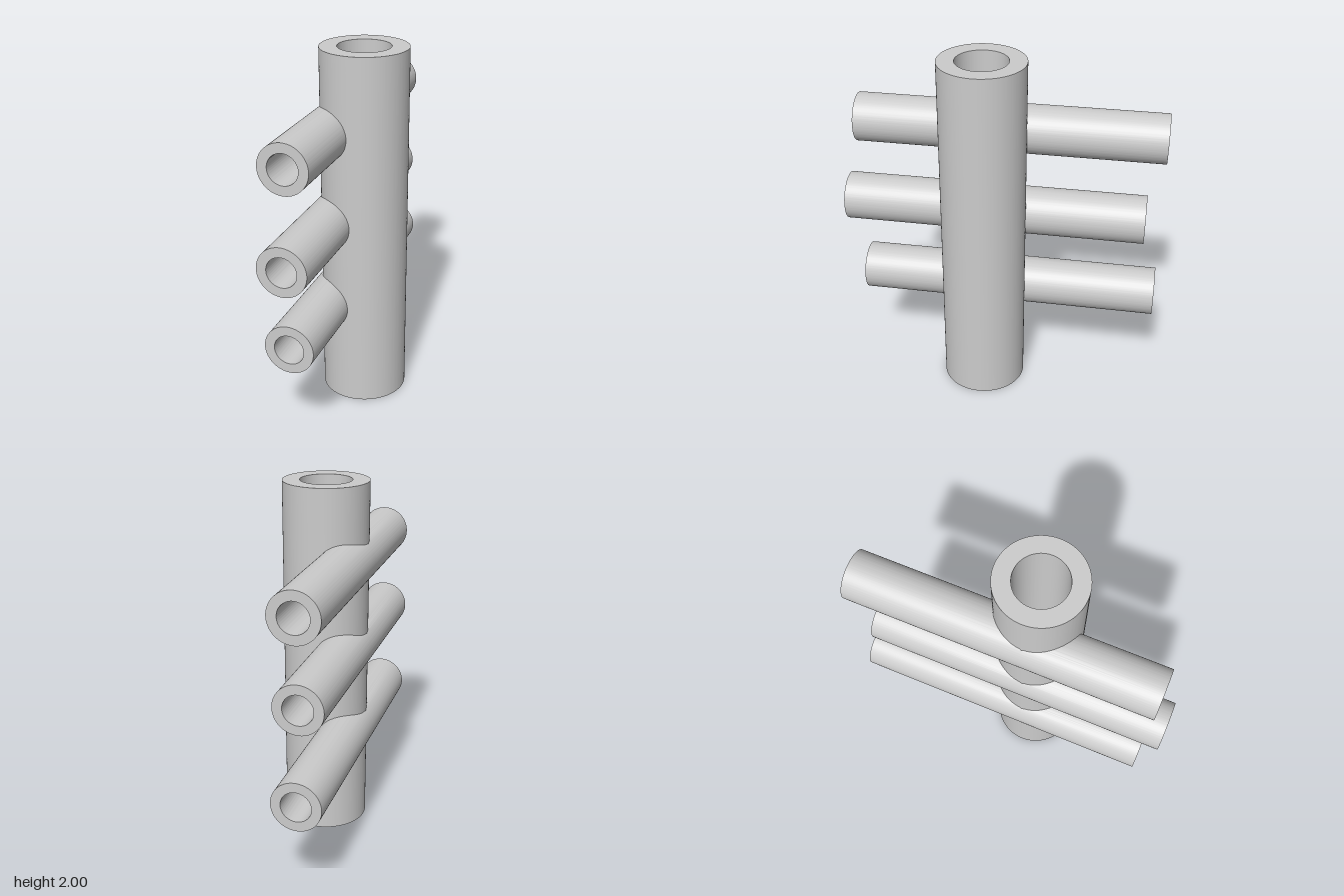
import * as THREE from 'three';
import { toCreasedNormals } from 'three/addons/utils/BufferGeometryUtils.js';

const POST = { x: 0.022, z: 0.086, radius: 0.236, bore: 0.142, height: 2 };
const BRANCH = { radius: 0.135, bore: 0.082 };

// Hollow tube along z, from z = 0 to z = depth
function ringExtrude(radius, bore, depth) {
  const shape = new THREE.Shape().absarc(0, 0, radius, 0, Math.PI * 2, false);
  shape.holes.push(new THREE.Path().absarc(0, 0, bore, 0, Math.PI * 2, true));
  return new THREE.ExtrudeGeometry(shape, { depth, bevelEnabled: false, curveSegments: 96 });
}

// Half of a cross tube: one end flat, the other shaped to the post's outer wall
function branchGeometry(x, y, end) {
  const side = end > 0 ? 1 : -1;
  const geometry = ringExtrude(BRANCH.radius, BRANCH.bore, 1).translate(x, y, 0);
  const p = geometry.attributes.position;
  for (let i = 0; i < p.count; i++) {
    const dx = p.getX(i) - POST.x;
    const halfChord = Math.sqrt(Math.max(0, POST.radius ** 2 - dx * dx));
    const isOuterEnd = (p.getZ(i) > 0.5) === (side > 0);
    p.setZ(i, isOuterEnd ? end : POST.z + side * halfChord);
  }
  return toCreasedNormals(geometry, 0.5);
}

export function createModel() {
  const model = new THREE.Group();
  model.name = 'branchedPipe';
  const material = new THREE.MeshStandardMaterial({ color: 0xcccccc });

  const add = (name, geometry, parent = model) => {
    const mesh = new THREE.Mesh(geometry, material);
    mesh.name = name;
    parent.add(mesh);
  };

  // Upright hollow post
  const post = ringExtrude(POST.radius, POST.bore, POST.height)
    .rotateX(-Math.PI / 2).translate(POST.x, 0, POST.z);
  add('post', toCreasedNormals(post, 0.5));

  // Three cross tubes, offset to the side of the post
  const tubes = [
    { name: 'lowerCrossTube', x: -0.128, y: 0.575, back: -0.89, front: 0.807 },
    { name: 'middleCrossTube', x: -0.115, y: 1.062, back: -0.807, front: 0.89 },
    { name: 'upperCrossTube', x: -0.128, y: 1.564, back: -0.89, front: 0.807 },
  ];
  for (const { name, x, y, back, front } of tubes) {
    const tube = new THREE.Group();
    tube.name = name;
    add('frontBranch', branchGeometry(x, y, front), tube);
    add('backBranch', branchGeometry(x, y, back), tube);
    model.add(tube);
  }
  return model;
}
